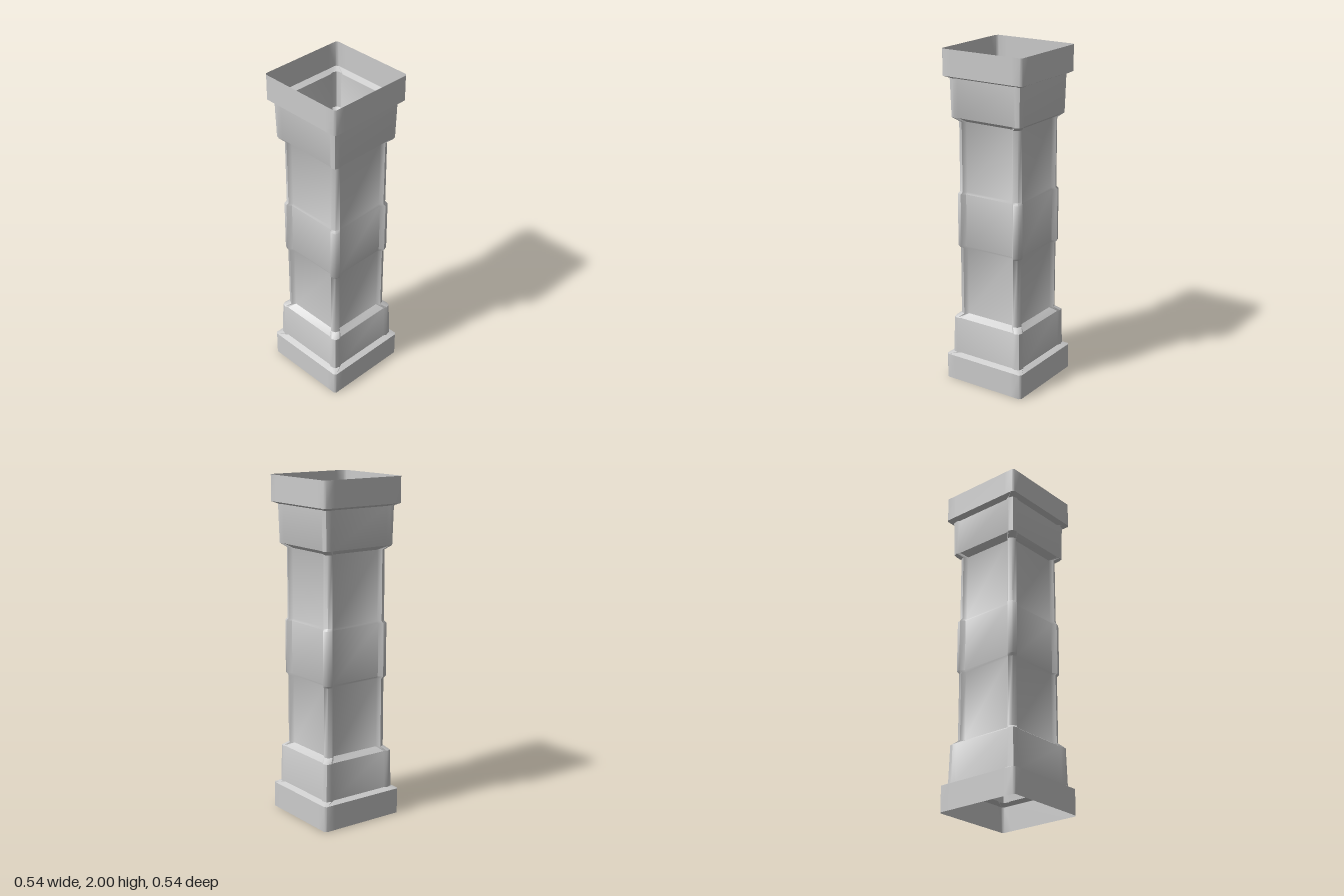
import * as THREE from 'three';
import { toCreasedNormals } from 'three/addons/utils/BufferGeometryUtils.js';

// Square section with raised corner strips:
// f = panel offset, e = panel half-width, c = strip offset, k = strip edge, d = corner point
function section({ f, e, c, k, d }) {
  const corner = [[f, e], [c, k], [d, d], [k, c], [e, f]];
  const points = [];
  for (let q = 0; q < 4; q++) {
    for (const [x, z] of corner) {
      let p = [x, z];
      for (let i = 0; i < q; i++) p = [-p[1], p[0]];
      points.push(p);
    }
  }
  return points;
}

const cap = section({ f: 0.268, e: 0.2, c: 0.268, k: 0.256, d: 0.262 });
const blockWide = section({ f: 0.234, e: 0.185, c: 0.243, k: 0.205, d: 0.235 });
const block = section({ f: 0.23, e: 0.185, c: 0.238, k: 0.205, d: 0.23 });
const shaft = section({ f: 0.19, e: 0.155, c: 0.21, k: 0.175, d: 0.2 });
const band = section({ f: 0.197, e: 0.16, c: 0.22, k: 0.182, d: 0.21 });

// Join a stack of [height, section] loops into an open tube
function loft(loops) {
  const n = loops[0][1].length;
  const positions = [];
  const index = [];
  for (const [y, pts] of loops) for (const [x, z] of pts) positions.push(x, y, z);
  for (let r = 0; r < loops.length - 1; r++) {
    for (let i = 0; i < n; i++) {
      const a = r * n + i, b = r * n + (i + 1) % n;
      index.push(a, a + n, b, b, a + n, b + n);
    }
  }
  const geometry = new THREE.BufferGeometry();
  geometry.setAttribute('position', new THREE.Float32BufferAttribute(positions, 3));
  geometry.setIndex(index);
  return toCreasedNormals(geometry, 0.9);
}

export function createModel() {
  const group = new THREE.Group();
  group.name = 'column';
  const material = new THREE.MeshStandardMaterial({ color: 0xcccccc, side: THREE.DoubleSide });

  // Lower half from foot to middle; the upper half mirrors it
  const lower = [
    [0, cap], [0.152, cap], [0.166, blockWide], [0.39, block],
    [0.415, shaft], [0.828, shaft], [0.842, band],
  ];
  const upper = lower.map(([y, s]) => [2 - y, s]).reverse();

  const add = (name, loops) => {
    const mesh = new THREE.Mesh(loft(loops), material);
    mesh.name = name;
    group.add(mesh);
  };
  // Hollow column, open at both ends
  add('columnShell', [...lower, ...upper]);
  return group;
}
